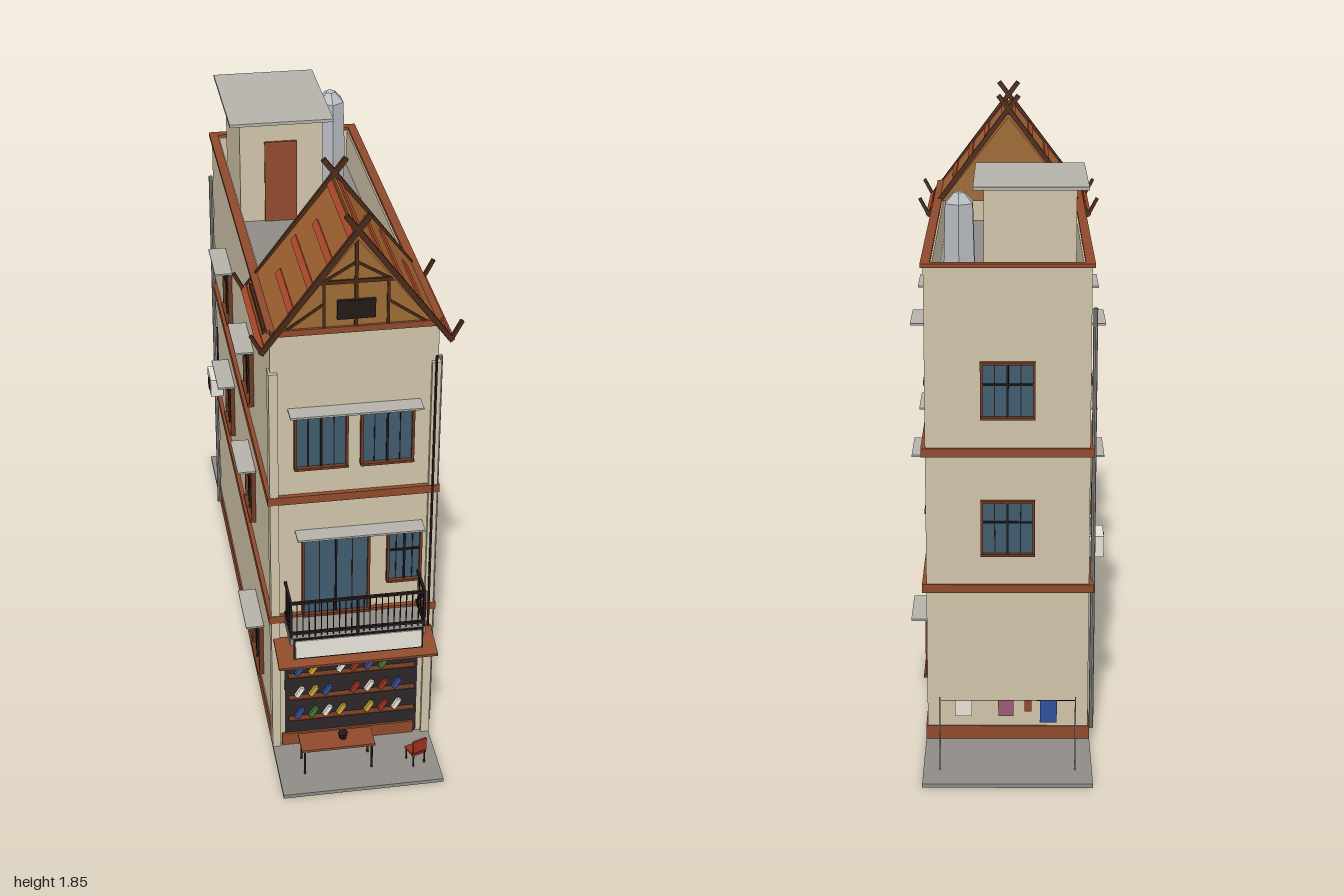
import * as THREE from 'three';

const C = {
  wall: 0xcfc3a8, trim: 0x8f4a2c, frame: 0x6e3a22, glass: 0x3f5b6e, dark: 0x221a18, concrete: 0x8f8c88,
  canopy: 0xb4b2aa, wood: 0x9c6a34, tile: 0xa0602f, tileRed: 0xb04a2c, beam: 0x4a2a18, white: 0xe6e2d8,
  steel: 0xb8bcc2, red: 0x9c3020, shop: 0x2c2627, blue: 0x2f4f9a, green: 0x3d7a3a, yellow: 0xc9a535, pink: 0x9a5a72,
};
const mats = {};
const mat = (c) => (mats[c] ??= new THREE.MeshStandardMaterial({ color: C[c], flatShading: true, side: THREE.DoubleSide }));

export function createModel() {
  const root = new THREE.Group();
  const mesh = (name, geo, c, x, y, z, parent = root) => {
    const m = new THREE.Mesh(geo, mat(c));
    m.name = name;
    m.position.set(x, y, z);
    parent.add(m);
    return m;
  };
  // box given by its min and max on each axis
  const box = (name, c, x0, x1, y0, y1, z0, z1, parent = root) =>
    mesh(name, new THREE.BoxGeometry(x1 - x0, y1 - y0, z1 - z0), c, (x0 + x1) / 2, (y0 + y1) / 2, (z0 + z1) / 2, parent);
  // straight bar between two points
  const bar = (name, c, a, b, w, d = w, parent = root) => {
    const A = new THREE.Vector3(...a), B = new THREE.Vector3(...b);
    const m = mesh(name, new THREE.BoxGeometry(w, A.distanceTo(B), d), c, 0, 0, 0, parent);
    m.position.copy(A).add(B).multiplyScalar(0.5);
    m.quaternion.setFromUnitVectors(new THREE.Vector3(0, 1, 0), B.sub(A).normalize());
    return m;
  };
  const group = (name, x = 0, y = 0, z = 0, rotY = 0) => {
    const g = new THREE.Group();
    g.name = name;
    g.position.set(x, y, z);
    g.rotation.y = rotY;
    root.add(g);
    return g;
  };

  // ground and main block
  box('ground', 'concrete', -0.25, 0.25, 0, 0.012, -1, 1);
  box('building', 'wall', -0.245, 0.245, 0.01, 1.355, -0.69, 0.755);
  box('roofDeck', 'concrete', -0.235, 0.235, 1.35, 1.362, -0.68, 0.745);
  for (const s of [-1, 1]) {
    box('parapetSide', 'wall', s * 0.233 - 0.012, s * 0.233 + 0.012, 1.355, 1.492, -0.69, 0.755);
    box('parapetCapSide', 'trim', s * 0.24 - 0.014, s * 0.24 + 0.014, 1.49, 1.502, -0.7, 0.76);
    box('plinthSide', 'trim', s * 0.247 - 0.003, s * 0.247 + 0.003, 0.005, 0.055, -0.692, 0.757);
    box('cornerPost', 'wall', s * 0.238 - 0.013, s * 0.238 + 0.013, 0.012, 1.36, 0.725, 0.768);
  }
  for (const z of [-0.678, 0.743]) box('parapetEnd', 'wall', -0.245, 0.245, 1.355, 1.492, z - 0.012, z + 0.012);
  for (const z of [-0.686, 0.748]) box('parapetCapEnd', 'trim', -0.254, 0.254, 1.49, 1.502, z - 0.014, z + 0.014);
  box('plinthBack', 'trim', -0.249, 0.249, 0.005, 0.055, -0.694, -0.688);
  for (const y of [0.505, 0.932]) box('floorBand', 'trim', -0.258, 0.258, y - 0.013, y + 0.013, -0.698, 0.77);

  // windows: local +z faces outward
  const windowUnit = (name, w, h, x, y, z, rotY, canopy = 0, transom = true) => {
    const g = group(name, x, y, z, rotY), t = 0.008;
    box('glass', 'glass', -w / 2, w / 2, -h / 2, h / 2, 0, 0.006, g);
    for (const s of [-1, 1]) {
      box('jamb', 'frame', s * w / 2 - t / 2, s * w / 2 + t / 2, -h / 2, h / 2, 0, 0.014, g);
      box('rail', 'frame', -w / 2 - t / 2, w / 2 + t / 2, s * h / 2 - t / 2, s * h / 2 + t / 2, 0, 0.014 + (s < 0 ? 0.006 : 0), g);
    }
    box('mullion', 'dark', -0.003, 0.003, -h / 2, h / 2, 0.004, 0.012, g);
    for (const s of [-1, 1]) box('bar', 'dark', s * w / 4 - 0.0015, s * w / 4 + 0.0015, -h / 2, h / 2, 0.004, 0.009, g);
    if (transom) box('transom', 'dark', -w / 2, w / 2, h * 0.1, h * 0.1 + 0.005, 0.004, 0.012, g);
    if (canopy) box('canopy', 'canopy', -canopy / 2, canopy / 2, h / 2 + 0.014, h / 2 + 0.02, 0, 0.057, g);
  };
  for (const y of [0.703, 1.128]) {
    for (const s of [-1, 1])
      for (const z of [0.305, -0.235]) windowUnit('sideWindow', 0.152, 0.178, s * 0.246, y, z, s * Math.PI / 2, 0.195);
    windowUnit('backWindow', 0.155, 0.165, 0, y - 0.005, -0.691, Math.PI);
  }
  windowUnit('groundWindow', 0.165, 0.18, 0.246, 0.208, -0.375, Math.PI / 2, 0.205);
  windowUnit('groundWindow', 0.165, 0.18, -0.246, 0.208, 0.44, -Math.PI / 2, 0.205);
  for (const s of [-1, 1]) windowUnit('frontUpperWindow', 0.152, 0.178, s * 0.098, 1.128, 0.756, 0, 0, false);
  box('frontUpperCanopy', 'canopy', -0.195, 0.195, 1.232, 1.238, 0.755, 0.812);
  windowUnit('balconyDoor', 0.2, 0.285, -0.052, 0.657, 0.756, 0, 0, false);
  windowUnit('balconyWindow', 0.1, 0.178, 0.157, 0.702, 0.756, 0);
  box('balconyCanopy', 'canopy', -0.175, 0.21, 0.81, 0.816, 0.755, 0.812);

  // balcony with railing
  box('balconySlab', 'concrete', -0.21, 0.205, 0.487, 0.51, 0.755, 0.878);
  const rail = group('balconyRailing');
  for (const y of [0.525, 0.635]) {
    box('frontRail', 'dark', -0.21, 0.205, y - 0.004, y + 0.004, 0.867, 0.875, rail);
    for (const x of [-0.206, 0.201]) box('endRail', 'dark', x - 0.004, x + 0.004, y - 0.004, y + 0.004, 0.76, 0.875, rail);
  }
  for (let i = 0; i <= 22; i++) {
    const x = -0.206 + i * 0.0185, w = i % 11 ? 0.0015 : 0.004;
    box('baluster', 'dark', x - w, x + w, 0.508, 0.635, 0.871 - w, 0.871 + w, rail);
  }
  for (const x of [-0.206, 0.201])
    for (let i = 0; i < 5; i++) bar('baluster', 'dark', [x, 0.508, 0.775 + i * 0.02], [x, 0.635, 0.775 + i * 0.02], 0.003, 0.003, rail);

  // shopfront, awning and blank signboard
  box('awning', 'trim', -0.245, 0.245, -0.005, 0.005, -0.062, 0.062).position.set(0, 0.417, 0.825);
  root.children.at(-1).rotation.x = 0.2;
  box('signFrame', 'dark', -0.2, 0.197, 0.438, 0.512, 0.879, 0.885);
  box('signBoard', 'white', -0.194, 0.191, 0.444, 0.506, 0.88, 0.888);
  box('shopInterior', 'shop', -0.21, 0.21, 0.014, 0.39, 0.74, 0.757);
  box('shopThreshold', 'trim', -0.22, 0.2, 0.012, 0.055, 0.755, 0.764);
  const colours = ['blue', 'yellow', 'green', 'red', 'white', 'white', 'yellow', 'red', 'blue'];
  [0.118, 0.2, 0.285].forEach((y, r) => {
    box('shelf', 'frame', -0.2, 0.2, y - 0.004, y, 0.755, 0.778);
    for (let i = 0; i < 8; i++) {
      if ((i + r) % 5 === 4) continue;
      const x = -0.165 + i * 0.044;
      bar('displayItem', colours[(i * 2 + r * 4) % 9], [x - 0.01, y + 0.004, 0.768], [x + 0.01, y + 0.036, 0.768], 0.014, 0.012);
    }
  });

  // table, dish and chair outside the shop
  const table = group('table', -0.065, 0, 0.872);
  box('tableTop', 'trim', -0.115, 0.115, 0.098, 0.106, -0.042, 0.042, table);
  for (const x of [-0.105, 0.105])
    for (const z of [-0.036, 0.036]) bar('tableLeg', 'dark', [x, 0.01, z], [x, 0.1, z], 0.006, 0.006, table);
  mesh('dish', new THREE.CylinderGeometry(0.016, 0.011, 0.02, 8), 'dark', 0.02, 0.118, 0, table);
  const chair = group('chair', 0.18, 0, 0.9, 0.35);
  box('seat', 'red', -0.024, 0.024, 0.052, 0.06, -0.024, 0.024, chair);
  box('backrest', 'red', -0.024, 0.024, 0.066, 0.11, 0.02, 0.027, chair);
  for (const x of [-0.02, 0.02])
    for (const z of [-0.02, 0.022]) bar('chairLeg', 'dark', [x, 0.01, z], [x, z > 0 ? 0.08 : 0.054, z], 0.004, 0.004, chair);

  // gabled front roof
  const roof = group('gableRoof');
  const slopeX = (y) => 0.27 * (1.785 - y) / 0.34;
  for (const s of [-1, 1]) {
    bar('roofSlope', 'tile', [0, 1.785, 0.59], [s * 0.27, 1.445, 0.59], 0.012, 0.39, roof);
    [[1.775, 0.4, 0.785], [1.7, 0.5, 0.775], [1.63, 0.45, 0.775], [1.56, 0.52, 0.775], [1.452, 0.395, 0.788]].forEach(([y, a, b]) => {
      const o = s * 0.004;
      bar('tileRow', 'tileRed', [s * slopeX(y + 0.008) + o, y + 0.01, (a + b) / 2], [s * slopeX(y - 0.01) + o, y - 0.008, (a + b) / 2], 0.012, b - a, roof);
    });
    for (const z of [0.393, 0.788]) {
      bar('bargeBoard', 'beam', [-s * 0.034, 1.85, z], [s * 0.275, 1.441, z], 0.016, 0.012, roof);
      bar('eaveHorn', 'beam', [s * 0.27, 1.442, z], [s * 0.302, 1.502, z], 0.011, 0.011, roof);
    }
    bar('eaveGutter', 'beam', [s * 0.252, 1.478, 0.43], [s * 0.252, 1.478, 0.725], 0.016, 0.016, roof);
  }
  const tri = new THREE.Shape([[-0.234, 1.49], [0.234, 1.49], [0, 1.782]].map((p) => new THREE.Vector2(...p)));
  for (const z of [0.755, 0.405]) {
    mesh('gablePanel', new THREE.ExtrudeGeometry(tri, { depth: 0.012, bevelEnabled: false }), 'wood', 0, 0, z, roof);
  }
  box('gableBase', 'trim', -0.245, 0.245, 1.483, 1.502, 0.752, 0.775, roof);
  box('kingPost', 'beam', -0.005, 0.005, 1.5, 1.77, 0.765, 0.773, roof);
  box('collarBeam', 'beam', -0.112, 0.112, 1.636, 1.647, 0.765, 0.773, roof);
  for (const s of [-1, 1]) {
    box('gableStud', 'beam', s * 0.092 - 0.004, s * 0.092 + 0.004, 1.5, 1.645, 0.765, 0.772, roof);
    bar('gableBrace', 'beam', [s * 0.2, 1.5, 0.768], [s * 0.092, 1.575, 0.768], 0.007, 0.007, roof);
    bar('gableBrace', 'beam', [s * 0.092, 1.645, 0.768], [0, 1.7, 0.768], 0.007, 0.007, roof);
  }
  box('gableVent', 'dark', -0.055, 0.055, 1.527, 1.585, 0.765, 0.778, roof);

  // stair house and water tank on the deck
  box('stairHouse', 'wall', -0.2, 0.07, 1.36, 1.71, -0.64, -0.26);
  box('stairHouseRoof', 'canopy', -0.235, 0.1, 1.71, 1.72, -0.672, -0.222);
  box('stairDoor', 'trim', -0.12, -0.015, 1.362, 1.64, -0.262, -0.253);
  const tank = [[0, 1.36], [0.055, 1.36], [0.062, 1.46], [0.055, 1.655], [0.02, 1.685], [0, 1.687]];
  mesh('waterTank', new THREE.LatheGeometry(tank.map((p) => new THREE.Vector2(...p)), 6), 'steel', 0.143, 0, -0.55).scale.x = 0.85;

  // drain pipes and front cable
  for (const [x, z] of [[0.257, 0.727], [-0.257, -0.65]])
    mesh('drainPipe', new THREE.CylinderGeometry(0.007, 0.007, 1.33, 8), 'concrete', x, 0.695, z);
  box('frontCable', 'dark', 0.233, 0.239, 0.35, 1.385, 0.768, 0.774);

  // air conditioner on the right wall
  const ac = group('airConditioner', -0.247, 0.605, -0.55, -Math.PI / 2);
  box('acCase', 'white', -0.052, 0.052, -0.033, 0.033, 0, 0.045, ac);
  mesh('acFan', new THREE.CylinderGeometry(0.023, 0.023, 0.004, 12), 'dark', 0.012, 0, 0.046, ac).rotation.x = Math.PI / 2;
  bar('acPipe', 'dark', [-0.035, 0.03, 0.008], [-0.035, 0.2, 0.008], 0.006, 0.006, ac);

  // washing line behind
  for (const x of [-0.2, 0.2]) bar('linePole', 'concrete', [x, 0.01, -0.905], [x, 0.245, -0.905], 0.004);
  bar('washingLine', 'dark', [-0.2, 0.235, -0.905], [0.2, 0.235, -0.905], 0.002);
  [['white', 0.13, 0.05, 0.05], ['pink', 0.005, 0.045, 0.05], ['trim', -0.06, 0.02, 0.035], ['blue', -0.12, 0.05, 0.07]].forEach(([c, x, w, h]) =>
    box('laundry', c, x - w / 2, x + w / 2, 0.235 - h, 0.235, -0.907, -0.903));

  return root;
}
